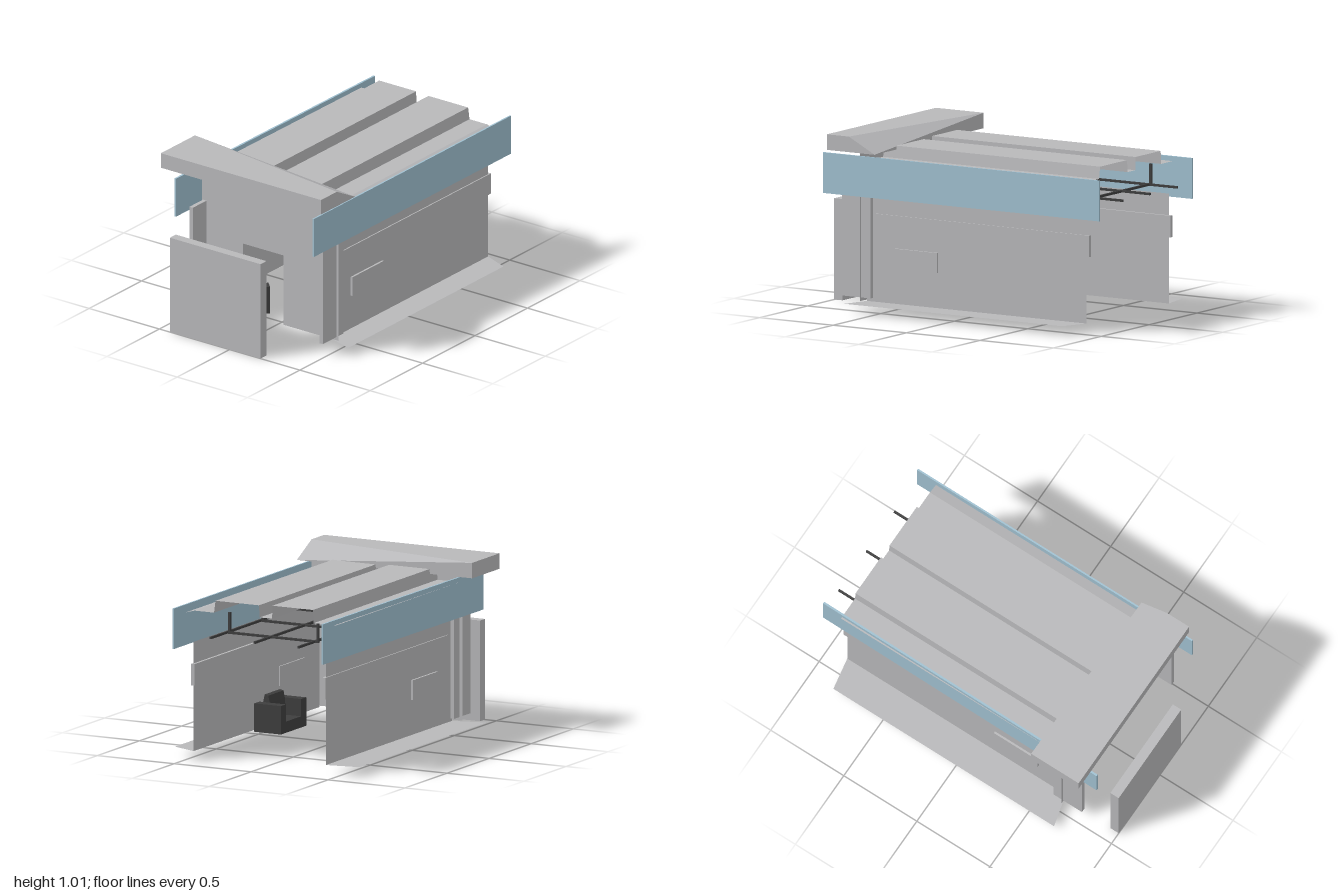
import * as THREE from 'three';

export function createModel() {
  const group = new THREE.Group();
  const mat = (name, color, side = THREE.FrontSide) => {
    const m = new THREE.MeshStandardMaterial({ color, side });
    m.name = name;
    return m;
  };
  const grey = mat('concrete grey', 0xb8b8ba, THREE.DoubleSide);
  const blue = mat('fascia blue', 0xa0c0d0);
  const dark = mat('charcoal', 0x3e3e3e);

  const add = (name, geo, material, parent = group) => {
    const m = new THREE.Mesh(geo, material);
    m.name = name;
    parent.add(m);
    return m;
  };
  // box given by its min and max on each axis
  const box = (name, material, [x0, x1], [y0, y1], [z0, z1], parent) => {
    const g = new THREE.BoxGeometry(x1 - x0, y1 - y0, z1 - z0);
    g.translate((x0 + x1) / 2, (y0 + y1) / 2, (z0 + z1) / 2);
    return add(name, g, material, parent);
  };
  // open sheet through rows of equal length
  const sheet = (name, rows, material) => {
    const n = rows[0].length, index = [];
    for (let r = 0; r < rows.length - 1; r++)
      for (let i = 0; i < n - 1; i++) {
        const a = r * n + i, b = a + n;
        index.push(a, b, a + 1, a + 1, b, b + 1);
      }
    let g = new THREE.BufferGeometry();
    g.setAttribute('position', new THREE.Float32BufferAttribute(rows.flat(2), 3));
    g.setIndex(index);
    g = g.toNonIndexed();
    g.computeVertexNormals();
    return add(name, g, material);
  };

  // side walls with ground flap, rail, wall box and end strip
  const midZ = 0.017;
  for (const s of [1, -1]) {
    const side = s > 0 ? 'left' : 'right';
    const z = d => midZ + s * d;
    const span = (a, b) => [Math.min(z(a), z(b)), Math.max(z(a), z(b))];
    sheet(side + 'Wall', [
      [[-0.63, 0.055, z(0.43)], [-0.63, 0.69, z(0.43)]],
      [[0.865, 0.055, z(0.43)], [0.865, 0.69, z(0.43)]],
    ], grey);
    const outer = s > 0 ? 0.605 : -0.61;
    sheet(side + 'GroundFlap', [
      [[-0.63, 0.055, z(0.43)], [-0.68, 0.055, outer]],
      [[0.865, 0.055, z(0.43)], [s > 0 ? 0.8 : 0.83, 0.055, outer]],
    ], grey);
    box(side + 'WallRail', grey, [-0.575, 0.885], [0.44, 0.565], span(0.415, 0.437));
    box(side + 'WallBox', grey, [-0.445, -0.145], [0.26, 0.375], span(0.422, 0.442));
    box(side + 'EndStrip', grey, [-0.77, -0.575], [0.08, 0.69], span(0.45, 0.475));
  }

  // end wall with doorway
  const wall = new THREE.Shape([
    [-0.475, 0.06], [-0.175, 0.06], [-0.175, 0.49], [0.115, 0.49],
    [0.115, 0.06], [0.505, 0.06], [0.505, 0.93], [-0.475, 0.93],
  ].map(p => new THREE.Vector2(...p)));
  const wallGeo = new THREE.ShapeGeometry(wall);
  wallGeo.rotateY(-Math.PI / 2);
  wallGeo.translate(-0.64, 0, 0);
  add('endWall', wallGeo, grey);

  // detached door slab with raised panel
  box('door', grey, [-1, -0.943], [0, 0.585], [-0.425, 0.22]);
  box('doorPanel', grey, [-0.944, -0.938], [0.045, 0.487], [-0.17, 0.112]);

  // fascia boards
  box('leftFascia', blue, [-0.885, 0.995], [0.665, 0.9], [0.504, 0.514]);
  const rear = box('rightFascia', blue, [-0.94, 0.94], [0.665, 0.9], [-0.006, 0.006]);
  rear.position.set(0.055, 0, -0.467);
  rear.rotation.y = -0.007;

  // corrugated roof sheet
  const profile = [
    [-0.478, 0.872], [-0.333, 0.872], [-0.328, 0.948], [-0.065, 0.948], [-0.063, 0.872],
    [0.018, 0.872], [0.023, 0.942], [0.305, 0.942], [0.315, 0.872], [0.44, 0.872], [0.502, 0.855],
  ];
  sheet('roof', [-0.605, 0.865].map(x => profile.map(([z, y]) => [x, y, z])), grey);

  // canopy slab with one corner planed off
  const P = {
    a: [-0.845, 0.92, -0.605], b: [-0.845, 0.92, 0.535], c: [-0.52, 0.92, 0.535], d: [-0.52, 0.92, -0.605],
    e: [-0.845, 1.01, -0.605], f: [-0.845, 1.01, 0.535], g: [-0.695, 1.01, 0.535], h: [-0.52, 1.01, -0.605],
  };
  const faces = ['adc', 'acb', 'efg', 'egh', 'abf', 'afe', 'bcg', 'bgf', 'aeh', 'ahd', 'dhc', 'gch'];
  const slab = new THREE.BufferGeometry();
  slab.setAttribute('position', new THREE.Float32BufferAttribute(
    faces.flatMap(t => [...t].flatMap(k => P[k])), 3));
  slab.computeVertexNormals();
  add('canopySlab', slab, grey);

  // hanging rail frame under the roof
  const frame = new THREE.Group();
  frame.name = 'hangingFrame';
  group.add(frame);
  for (const z of [0.267, -0.02, -0.305])
    box('longRail', dark, [-0.5, 0.995], [0.745, 0.758], [z - 0.006, z + 0.006], frame);
  for (const x of [-0.4, 0, 0.4, 0.8]) {
    box('crossRail', dark, [x - 0.007, x + 0.007], [0.745, 0.758], [-0.333, 0.256], frame);
    for (const z of [-0.326, 0.249])
      box('hanger', dark, [x - 0.007, x + 0.007], [0.745, 0.87], [z - 0.007, z + 0.007], frame);
  }

  // armchairs, built facing +z
  const chair = (name, x, z, turn) => {
    const g = new THREE.Group();
    g.name = name;
    box('seat', dark, [-0.09, 0.09], [0.045, 0.11], [-0.087, 0.087], g);
    for (const s of [-1, 1])
      box('arm', dark, [s * 0.12 - 0.03, s * 0.12 + 0.03], [0.045, 0.21], [-0.087, 0.087], g);
    const back = new THREE.Shape([[-0.087, 0.11], [-0.01, 0.11], [-0.02, 0.21], [-0.028, 0.25],
      [-0.052, 0.255], [-0.062, 0.21]].map(p => new THREE.Vector2(...p)));
    const bg = new THREE.ExtrudeGeometry(back, { depth: 0.18, bevelEnabled: false });
    bg.rotateY(-Math.PI / 2);
    bg.translate(0.09, 0, 0);
    add('backrest', bg, dark, g);
    g.position.set(x, 0, z);
    g.rotation.y = turn;
    group.add(g);
  };
  chair('wallChair', 0, 0.358, Math.PI);
  chair('doorChair', -0.48, -0.235, Math.PI / 4);

  return group;
}
